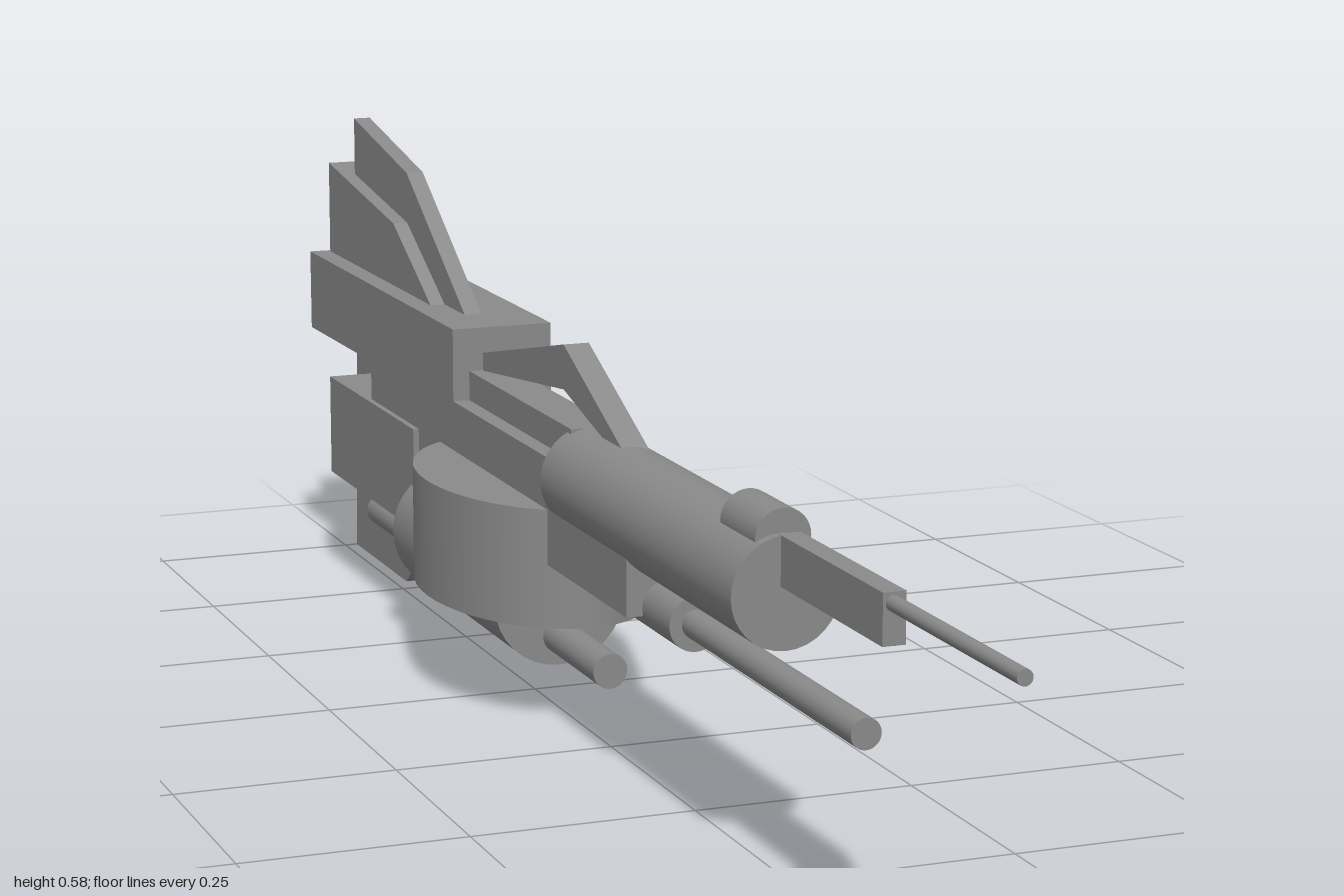
import * as THREE from 'three';

export function createModel() {
  const model = new THREE.Group();
  const darkGrey = new THREE.MeshStandardMaterial({ color: 0x8a8a8a });

  function add(name, geometry) {
    const mesh = new THREE.Mesh(geometry, darkGrey);
    mesh.name = name;
    model.add(mesh);
    return mesh;
  }

  // Box given by its limits on each axis
  function box(name, [x0, x1], [y0, y1], [z0, z1]) {
    const mesh = add(name, new THREE.BoxGeometry(x1 - x0, y1 - y0, z1 - z0));
    mesh.position.set((x0 + x1) / 2, (y0 + y1) / 2, (z0 + z1) / 2);
  }

  // Cylinder lying along z
  function tube(name, x, y, radius, z0, z1) {
    const geometry = new THREE.CylinderGeometry(radius, radius, z1 - z0, 32).rotateX(Math.PI / 2);
    add(name, geometry).position.set(x, y, (z0 + z1) / 2);
  }

  // Side profile of [z, y] points, extruded from x0 to x1
  function plate(name, x0, x1, points) {
    const shape = new THREE.Shape(points.map(([z, y]) => new THREE.Vector2(-z, y)));
    const geometry = new THREE.ExtrudeGeometry(shape, { depth: x1 - x0, bevelEnabled: false });
    geometry.rotateY(Math.PI / 2);
    add(name, geometry).position.x = x0;
  }

  // Barrels and muzzle
  tube('mainBarrel', -0.001, 0.294, 0.059, -0.062, 0.488);
  box('muzzleBlock', [-0.007, 0.017], [0.301, 0.353], [0.48, 0.728]);
  tube('needle', 0.004, 0.342, 0.008, 0.72, 1);
  tube('frontSight', 0, 0.348, 0.03, 0.387, 0.477);
  tube('lowerBarrelSleeve', 0, 0.203, 0.03, -0.06, 0.25);
  tube('lowerBarrel', 0, 0.203, 0.016, 0.2, 0.68);

  // Receiver
  box('receiver', [-0.048, 0.047], [0.195, 0.317], [-0.72, 0.172]);
  box('receiverRidge', [-0.028, 0.024], [0.3, 0.352], [-0.42, -0.05]);
  plate('archedHandle', -0.011, 0.019, [
    [0.065, 0.35], [0.01, 0.35], [-0.12, 0.382], [-0.4, 0.351], [-0.4, 0.372], [-0.12, 0.433],
  ]);

  // Oval drum magazine
  const drum = add('drumMagazine', new THREE.CylinderGeometry(1, 1, 0.136, 48));
  drum.scale.set(0.1275, 1, 0.203);
  drum.position.set(0, 0.19, -0.26);

  // Under-slung cylinder and its rod
  tube('lowerCylinder', 0, 0.13, 0.0785, -0.541, -0.165);
  tube('lowerRod', 0, 0.086, 0.02, -0.835, -0.002);

  // Stock
  plate('stockTop', -0.048, 0.02, [
    [-0.397, 0.403], [-0.397, 0.308], [-0.978, 0.303], [-0.979, 0.403],
  ]);
  plate('stockPlate', 0.016, 0.074, [
    [-0.397, 0.403], [-0.397, 0.308], [-0.46, 0.257], [-0.41, 0.23], [-0.41, 0.123],
    [-0.63, 0.123], [-0.785, 0], [-1, 0], [-0.979, 0.403],
  ]);
  box('stockSideBlock', [-0.055, 0.018], [0.132, 0.257], [-0.875, -0.53]);

  // Stepped fins
  plate('wideFin', -0.023, 0.034, [
    [-0.55, 0.4], [-0.972, 0.4], [-0.972, 0.519], [-0.7, 0.481],
  ]);
  plate('tallFin', -0.005, 0.016, [
    [-0.475, 0.4], [-0.917, 0.4], [-0.917, 0.583], [-0.7, 0.543],
  ]);

  return model;
}
